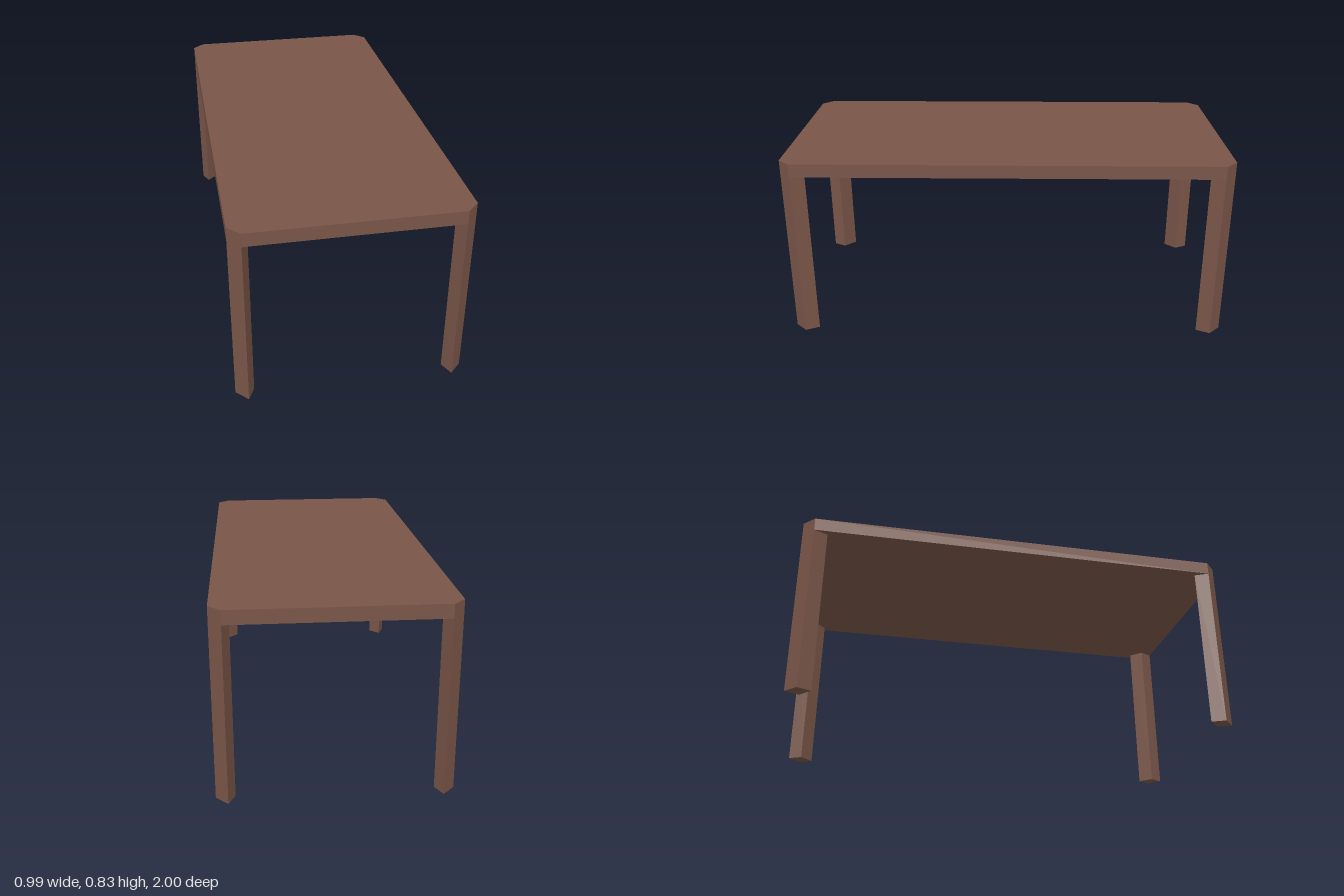
import * as THREE from 'three';

const HALF_W = 0.495, HALF_L = 1, CUT = 0.052;
const UNDERSIDE = 0.77, TOP = 0.83;

// Upright prism from a plan outline of [x, z] points
function prism(points, y0, y1) {
  const shape = new THREE.Shape(points.map(([x, z]) => new THREE.Vector2(x, -z)));
  const geometry = new THREE.ExtrudeGeometry(shape, { depth: y1 - y0, bevelEnabled: false });
  return geometry.rotateX(-Math.PI / 2).translate(0, y0, 0);
}

export function createModel() {
  const group = new THREE.Group();
  group.name = 'table';
  const wood = new THREE.MeshStandardMaterial({ color: 0x795548, flatShading: true });

  const add = (name, geometry) => {
    const mesh = new THREE.Mesh(geometry, wood);
    mesh.name = name;
    group.add(mesh);
  };

  // Slab with cut corners
  const x = HALF_W, z = HALF_L, c = CUT;
  add('tableTop', prism([
    [x, -z + c], [x, z - c], [x - c, z], [-x + c, z],
    [-x, z - c], [-x, -z + c], [-x + c, -z], [x - c, -z],
  ], UNDERSIDE, TOP));

  // Legs: slanted four-sided section flush with the cut corner
  const dx = 0.029, dz = 0.06;
  const section = [[x, z - c], [x - c, z], [x - c - dx, z - dz], [x - dx, z - c - dz]];
  for (const [sz, end] of [[1, 'front'], [-1, 'back']]) {
    for (const [sx, side] of [[1, 'Left'], [-1, 'Right']]) {
      add(`${end}${side}Leg`, prism(section.map(([px, pz]) => [sx * px, sz * pz]), 0, UNDERSIDE));
    }
  }
  return group;
}
